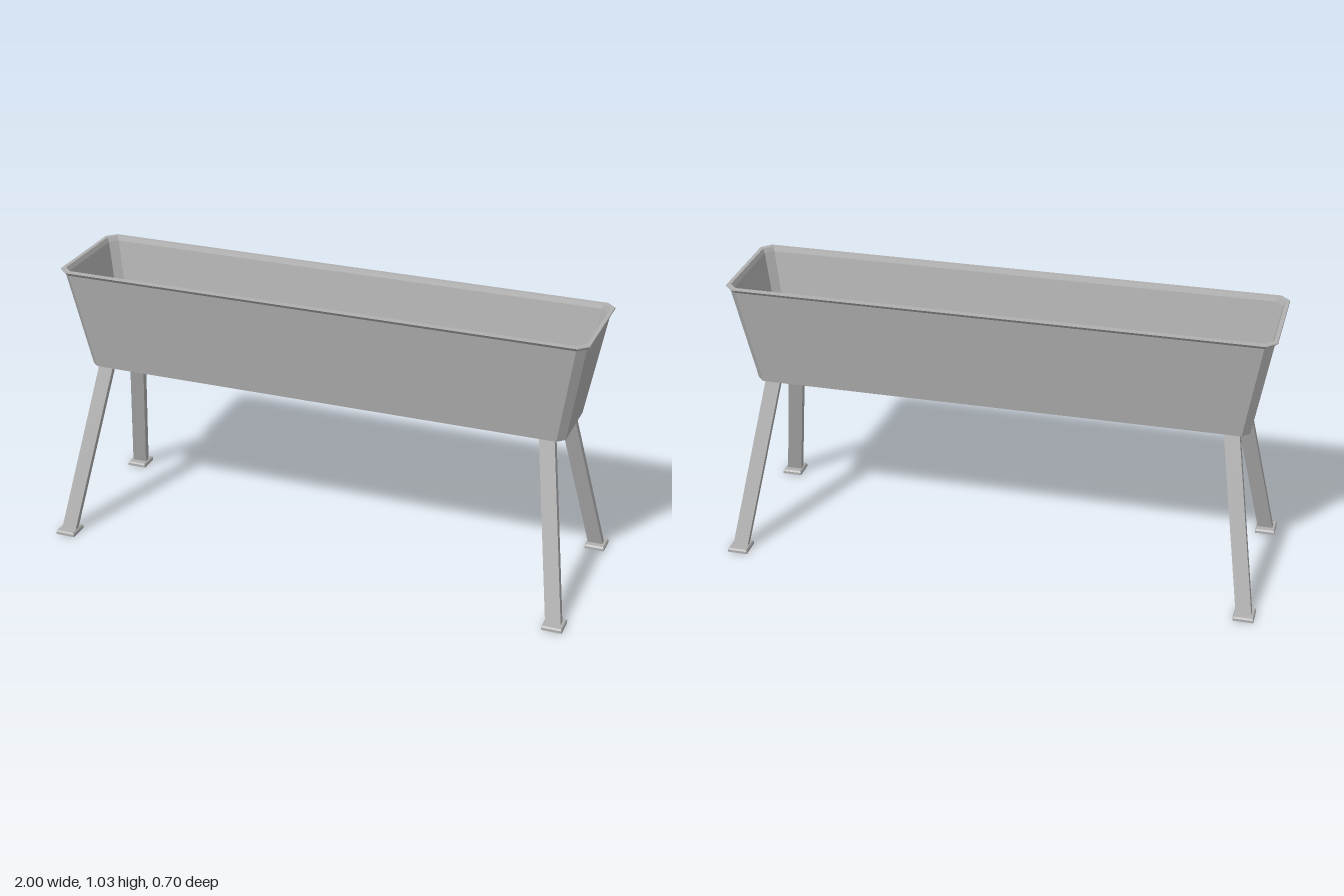
import * as THREE from 'three';

// Rectangle with cut corners, counter-clockwise seen from above
function ring(hx, hz, y, cut) {
  const a = hx - cut, b = hz - cut;
  return [[hx, b], [hx, -b], [a, -hz], [-a, -hz], [-hx, -b], [-hx, b], [-a, hz], [a, hz]]
    .map(([x, z]) => [x, y, z]);
}

// Skin a series of rings and close both ends, with flat faces
function loft(rings) {
  const pos = [];
  const tri = (a, b, c) => pos.push(...a, ...b, ...c);
  for (let r = 0; r < rings.length - 1; r++) {
    const p = rings[r], q = rings[r + 1], n = p.length;
    for (let i = 0; i < n; i++) {
      const j = (i + 1) % n;
      tri(p[i], p[j], q[j]);
      tri(p[i], q[j], q[i]);
    }
  }
  const first = rings[0], last = rings[rings.length - 1];
  for (let i = 1; i < first.length - 1; i++) {
    tri(first[0], first[i + 1], first[i]);
    tri(last[0], last[i], last[i + 1]);
  }
  const geo = new THREE.BufferGeometry();
  geo.setAttribute('position', new THREE.Float32BufferAttribute(pos, 3));
  geo.computeVertexNormals();
  return geo;
}

// Bar with level ends, leaning from a bottom point to a top point
function leaningBar(w, d, bottom, top) {
  const geo = new THREE.BoxGeometry(w, 1, d);
  const p = geo.attributes.position;
  for (let i = 0; i < p.count; i++) {
    const end = p.getY(i) > 0 ? top : bottom;
    p.setXYZ(i, p.getX(i) + end[0], end[1], p.getZ(i) + end[2]);
  }
  geo.computeVertexNormals();
  return geo;
}

export function createModel() {
  const model = new THREE.Group();
  model.name = 'troughOnLegs';
  const metal = new THREE.MeshStandardMaterial({ color: 0xb0b0b0 });
  metal.name = 'greyMetal';
  const add = (name, geo, parent) => {
    const mesh = new THREE.Mesh(geo, metal);
    mesh.name = name;
    parent.add(mesh);
    return mesh;
  };

  // Tapered basin: outside wall, flared lip, inside wall, floor
  add('trough', loft([
    ring(0.92, 0.145, 0.64, 0.027),
    ring(0.987, 0.202, 1.018, 0.03),
    ring(1.0, 0.214, 1.031, 0.034),
    ring(0.999, 0.213, 1.035, 0.034),
    ring(0.985, 0.197, 1.035, 0.03),
    ring(0.978, 0.192, 1.018, 0.028),
    ring(0.912, 0.137, 0.65, 0.025),
  ]), model);

  // Four splayed legs, each on a bevelled foot plate
  for (const sx of [1, -1]) {
    for (const sz of [1, -1]) {
      const side = (sz > 0 ? 'front' : 'back') + (sx > 0 ? 'Left' : 'Right');
      const legGroup = new THREE.Group();
      legGroup.name = side + 'Support';
      add(side + 'Leg', leaningBar(0.057, 0.025,
        [sx * 0.961, 0.01, sz * 0.31], [sx * 0.857, 0.645, sz * 0.127]), legGroup);
      const foot = add(side + 'Foot', loft([
        ring(0.0375, 0.04, 0, 0.001),
        ring(0.0375, 0.04, 0.01, 0.001),
        ring(0.034, 0.036, 0.016, 0.001),
      ]), legGroup);
      foot.position.set(sx * 0.9625, 0, sz * 0.31);
      model.add(legGroup);
    }
  }
  return model;
}
